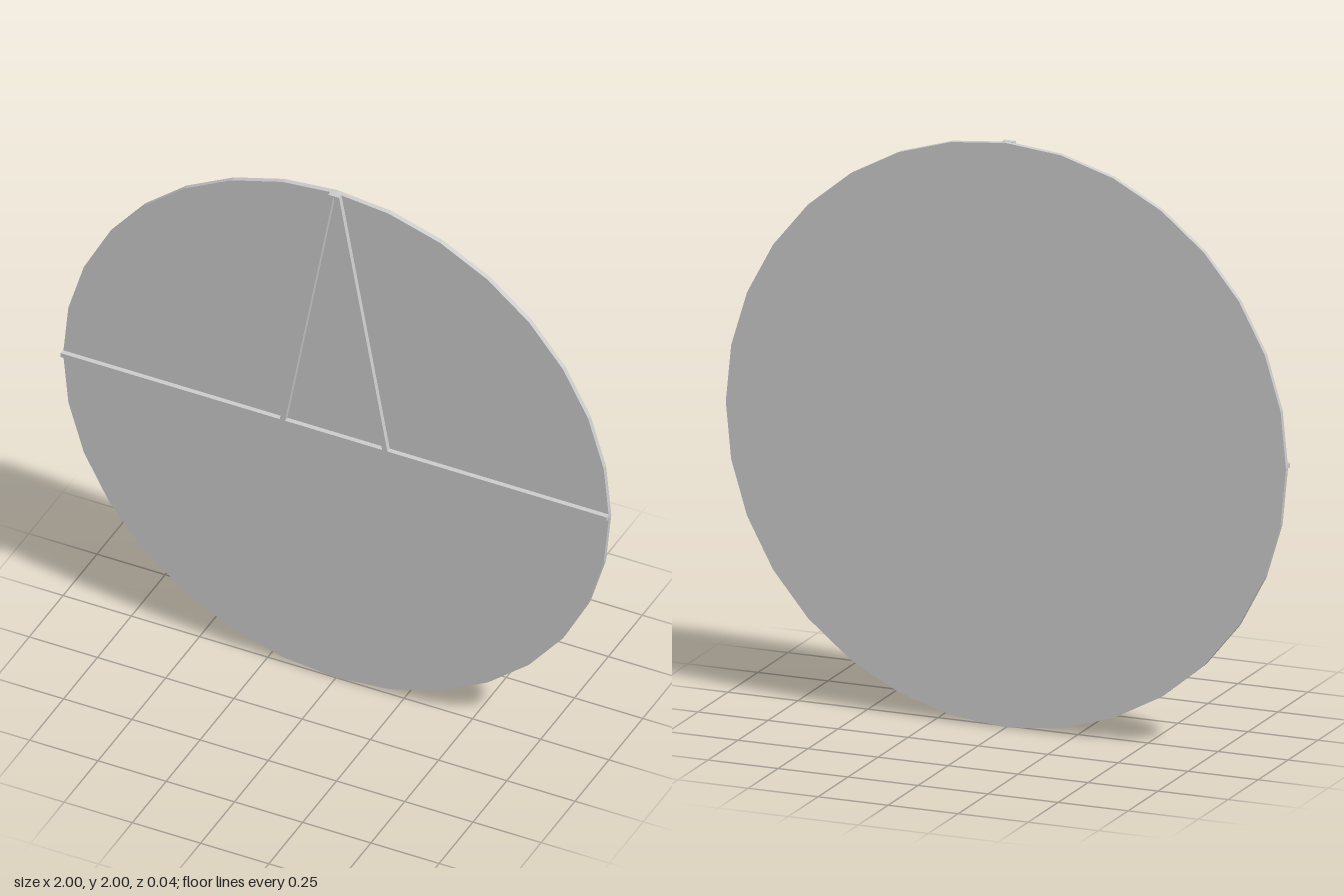
import * as THREE from 'three';

export function createModel() {
  const group = new THREE.Group();
  const material = new THREE.MeshStandardMaterial({ color: 0xcccccc, flatShading: true });
  const back = -0.018, face = 0, front = 0.018;

  const add = (name, geometry) => {
    const mesh = new THREE.Mesh(geometry, material);
    mesh.name = name;
    group.add(mesh);
    return mesh;
  };

  // Thin 32-sided disc standing upright
  const disc = new THREE.CylinderGeometry(1, 1, face - back, 32);
  disc.rotateX(Math.PI / 2);
  add('disc', disc).position.set(0, 1, (face + back) / 2);

  // Raised strip across the middle
  add('crossStrip', new THREE.BoxGeometry(2, 0.016, front - face))
    .position.set(0, 1.005, (front + face) / 2);

  // Two slanted strips meeting at the top
  for (const side of [1, -1]) {
    const outline = [[0.178, 1.013], [0.197, 1.013], [0.02, 2], [0, 2]];
    const shape = new THREE.Shape(outline.map(([x, y]) => new THREE.Vector2(side * x, y)));
    const strip = new THREE.ExtrudeGeometry(shape, { depth: front - face, bevelEnabled: false });
    add(side > 0 ? 'leftSlantedStrip' : 'rightSlantedStrip', strip).position.z = face;
  }

  return group;
}
